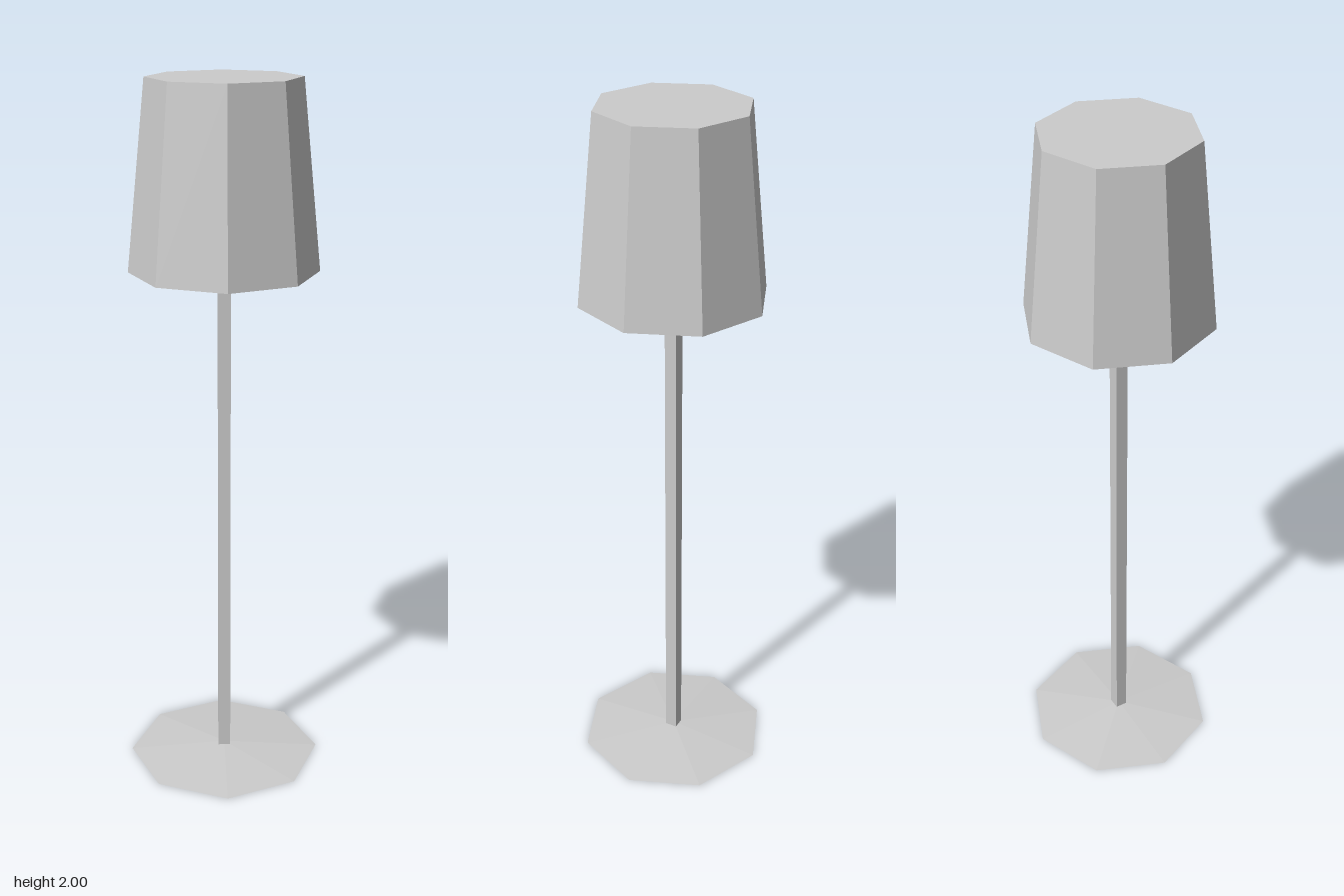
import * as THREE from 'three';

export function createModel() {
  const lamp = new THREE.Group();
  lamp.name = 'floorLamp';
  const material = new THREE.MeshStandardMaterial({ color: 0xcccccc, flatShading: true });

  // Faceted, capped solid standing between two heights
  const addPart = (name, topRadius, bottomRadius, y0, y1, sides) => {
    const geometry = new THREE.CylinderGeometry(topRadius, bottomRadius, y1 - y0, sides);
    const mesh = new THREE.Mesh(geometry, material);
    mesh.name = name;
    mesh.position.y = (y0 + y1) / 2;
    lamp.add(mesh);
  };

  // Shallow octagonal cone as foot
  addPart('base', 0, 0.281, 0, 0.02, 8);
  // Square pole, corners on the axes
  addPart('pole', 0.025, 0.025, 0.005, 1.5, 4);
  // Closed octagonal shade
  addPart('shade', 0.21, 0.262, 1.483, 2, 8);

  return lamp;
}
